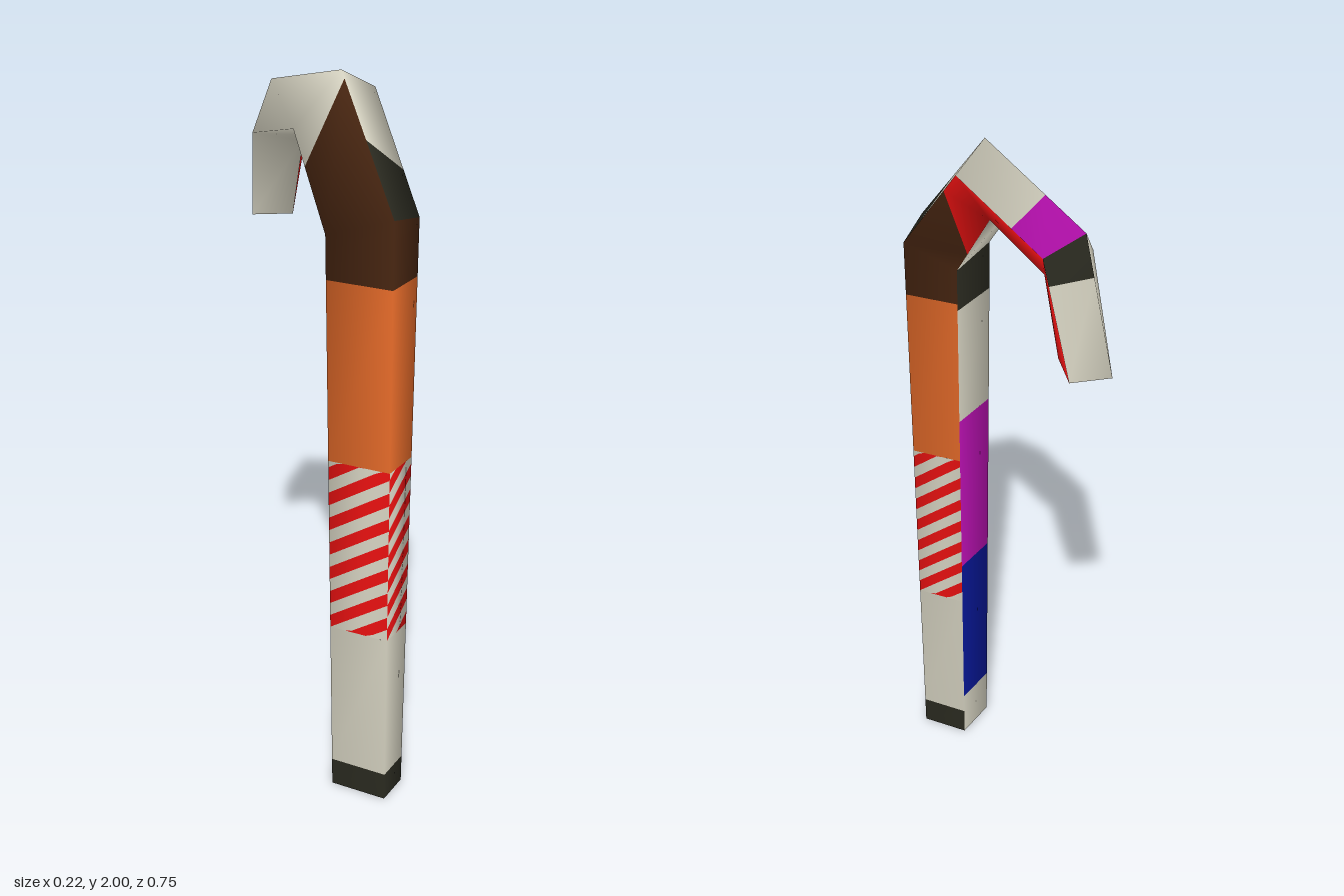
import * as THREE from 'three';

const material = (name, color) => Object.assign(new THREE.MeshStandardMaterial({ color }), { name });
const materials = {
  white: material('white', 0xd2cfbe),
  dark: material('charcoal', 0x2a2a20),
  red: material('red', 0xe41010),
  orange: material('orange', 0xe06828),
  brown: material('brown', 0x452410),
  magenta: material('magenta', 0xb810b0),
  blue: material('blue', 0x061694),
};

// Each ring is a slanted slice of the cane: outer and inner edge as [z, y], and corner x values
const rings = [
  { out: [0.375, 0], inn: [0.2, 0], x: [0, 0.087, 0.03, -0.09] },
  { out: [0.377, 1.69], inn: [0.187, 1.61], x: [0, 0.108, 0.035, -0.11] },
  { out: [0.11, 2], inn: [0.05, 1.81], x: [0, 0.108, 0.035, -0.11] },
  { out: [-0.27, 1.89], inn: [-0.16, 1.745], x: [0, 0.105, 0.035, -0.1] },
  { out: [-0.377, 1.54], inn: [-0.21, 1.53], x: [0, 0.093, 0.03, -0.072] },
];
const depth = [0, 0.32, 1, 0.77]; // how far each corner lies from outer to inner edge
const corners = rings.map(({ out, inn, x }) => depth.map((t, k) => new THREE.Vector3(
  x[k], THREE.MathUtils.lerp(out[1], inn[1], t), THREE.MathUtils.lerp(out[0], inn[0], t))));

// Smooth normals at every ring corner
function cornerNormals() {
  const index = [];
  for (let r = 0; r < 4; r++) for (let k = 0; k < 4; k++) {
    const a = r * 4 + k, b = r * 4 + (k + 1) % 4;
    index.push(a, b, b + 4, a, b + 4, a + 4);
  }
  const g = new THREE.BufferGeometry().setFromPoints(corners.flat());
  g.setIndex(index);
  g.computeVertexNormals();
  return rings.map((_, r) => depth.map((_, k) =>
    new THREE.Vector3().fromBufferAttribute(g.attributes.normal, r * 4 + k)));
}

// Value on side k at u (across the side) and s (ring number along the cane)
function sample(table, k, u, s) {
  const r = Math.min(3, Math.floor(s)), f = s - r, j = (k + 1) % 4;
  const p = table[r][k].clone().lerp(table[r + 1][k], f);
  return p.lerp(table[r][j].clone().lerp(table[r + 1][j], f), u);
}

// Colours along each side: shaft by height, then hook by ring number at both edges of the side
const shaftPaint = [['dark', 0.08], ['white', 0.51], ['stripes', 1.01], ['orange', 1.51], ['brown', null]];
const sides = [
  { name: 'frontRight', rise: 0.075, shaft: shaftPaint, hook: [['dark', 1.53, 1.36], ['white', 2.605, 2.646],
    ['magenta', 3, 3], ['dark', 3.3, 3.22], ['white', 4, 4]] },
  { name: 'right', rise: 0.11, shaft: shaftPaint, hook: [['brown', 1.78, 1.33], ['red', 4, 4]] },
  { name: 'backLeft', rise: 0, shaft: [['white', 0.14], ['blue', 0.64], ['magenta', 1.14], ['white', 1.49], ['dark', null]],
    hook: [['white', 4, 4]] },
  { name: 'frontLeft', rise: 0.11, shaft: shaftPaint, hook: [['brown', 1.64, 1.94], ['white', 4, 4]] },
];

export function createModel() {
  const group = new THREE.Group();
  group.name = 'cane';
  const normals = cornerNormals();
  const clamp = THREE.MathUtils.clamp;

  sides.forEach((side, k) => {
    const buffers = {};
    // One quad given as [u, s] corners, counter-clockwise from outside
    const quad = (colour, a, b, c, d) => {
      const buf = buffers[colour] ??= { pos: [], nor: [] };
      for (const [u, s] of [a, b, c, a, c, d]) {
        buf.pos.push(...sample(corners, k, u, s).toArray());
        buf.nor.push(...sample(normals, k, u, s).normalize().toArray());
      }
    };
    // A painted band, broken at every bend
    const band = (colour, lo, hi, u0 = 0, u1 = 1) => {
      for (let r = 0; r < 4; r++) {
        const [a, b, c, d] = [lo[0], lo[1], hi[1], hi[0]].map(s => clamp(s, r, r + 1));
        if (d - a > 1e-5 || c - b > 1e-5) quad(colour, [u0, a], [u1, b], [u1, c], [u0, d]);
      }
    };
    const level = (y, u) => {
      const top = THREE.MathUtils.lerp(corners[1][k].y, corners[1][(k + 1) % 4].y, u);
      return y === null ? 1 : y / top;
    };

    // Shaft, with slanted stripes
    let from = 0;
    for (const [colour, to] of side.shaft) {
      if (colour === 'stripes') {
        const half = 0.037, columns = 8;
        for (let i = -4; i < 15; i++) for (let c = 0; c < columns; c++) {
          const u0 = c / columns, u1 = (c + 1) / columns;
          const line = n => [u0, u1].map(u => level(clamp(from + n * half + side.rise * u, from, to), u));
          band(i % 2 ? 'white' : 'red', line(i), line(i + 1), u0, u1);
        }
      } else band(colour, [level(from, 0), level(from, 1)], [level(to, 0), level(to, 1)]);
      from = to;
    }
    // Hook
    let start = [1, 1];
    for (const [colour, p, q] of side.hook) {
      band(colour, start, [p, q]);
      start = [p, q];
    }
    for (const [colour, { pos, nor }] of Object.entries(buffers)) {
      const g = new THREE.BufferGeometry();
      g.setAttribute('position', new THREE.Float32BufferAttribute(pos, 3));
      g.setAttribute('normal', new THREE.Float32BufferAttribute(nor, 3));
      const mesh = new THREE.Mesh(g, materials[colour]);
      mesh.name = `${side.name}Side_${colour}`;
      group.add(mesh);
    }
  });

  // End caps
  for (const [name, ring, order] of [['footCap', 0, [0, 2, 1, 0, 3, 2]], ['tipCap', 4, [0, 1, 2, 0, 2, 3]]]) {
    const g = new THREE.BufferGeometry().setFromPoints(order.map(i => corners[ring][i]));
    g.computeVertexNormals();
    const cap = new THREE.Mesh(g, materials.white);
    cap.name = name;
    group.add(cap);
  }
  return group;
}
